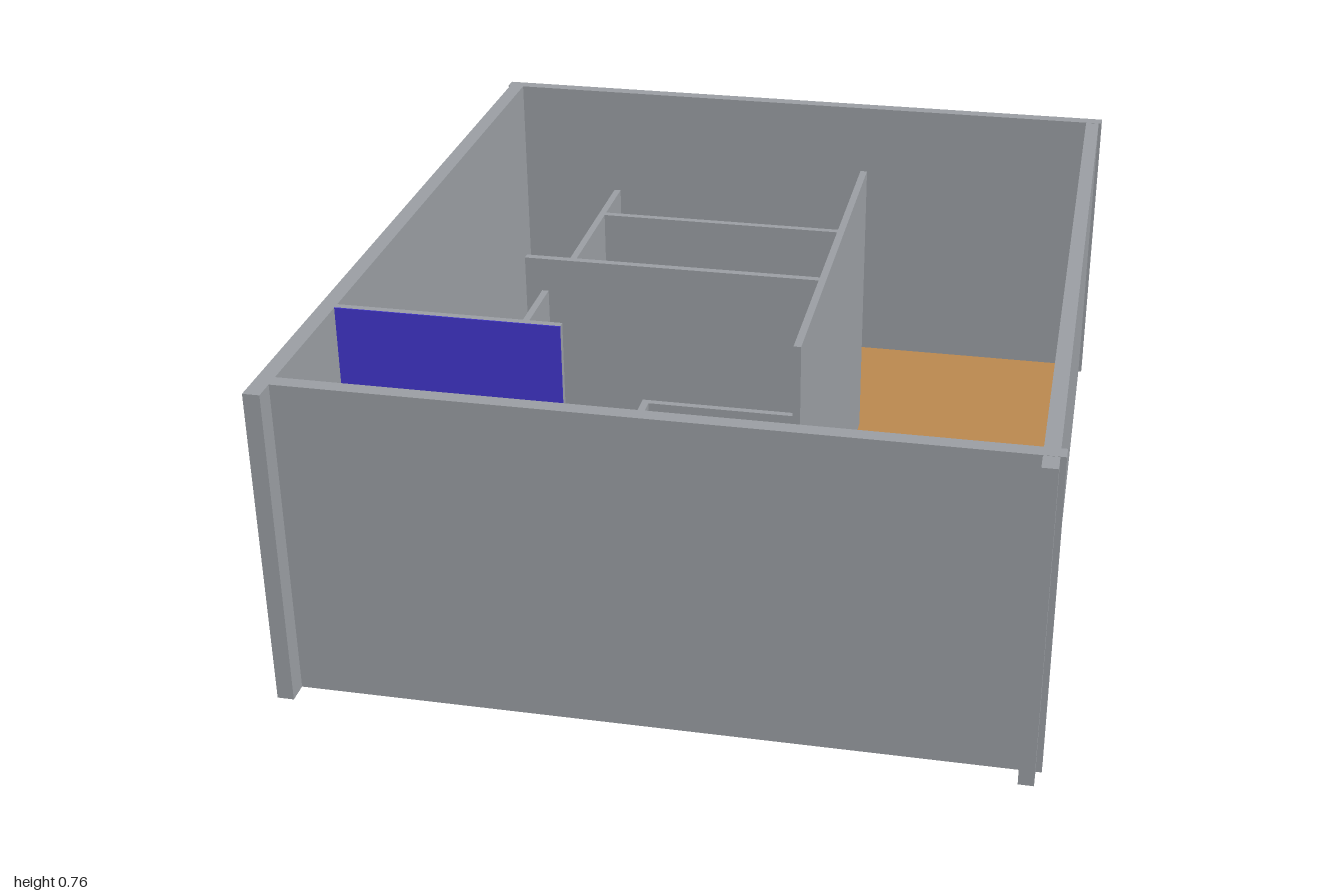
import * as THREE from 'three';

const mat = (name, color) => {
  const m = new THREE.MeshStandardMaterial({ color });
  m.name = name;
  return m;
};

export function createModel() {
  const group = new THREE.Group();
  group.name = 'roomLayout';
  const grey = mat('wallGrey', 0x9a9ea3);
  const wood = mat('floorBrown', 0xba884f);
  const blue = mat('panelBlue', 0x4236cc);
  const pink = mat('picturePink', 0xb475a2);
  const amber = mat('pictureAmber', 0xbb7e38);
  const black = mat('screenBlack', 0x161616);

  // Box given by its extents on each axis
  const block = (name, material, x0, x1, y0, y1, z0, z1) => {
    const mesh = new THREE.Mesh(new THREE.BoxGeometry(x1 - x0, y1 - y0, z1 - z0), material);
    mesh.position.set((x0 + x1) / 2, (y0 + y1) / 2, (z0 + z1) / 2);
    mesh.name = name;
    group.add(mesh);
  };
  const wall = (name, x0, x1, z0, z1, top, bottom = 0) =>
    block(name, grey, x0, x1, bottom, top, z0, z1);

  const high = 0.76, low = 0.59, door = 0.42;

  // Floor, slightly above the wall feet
  block('floor', wood, -0.805, 0.8, 0.012, 0.02, -0.968, 0.915);

  // Outer walls
  wall('backWall', -0.845, 0.84, -1, -0.967, high);
  wall('frontWall', -0.805, 0.845, 0.915, 0.95, high);
  wall('rightOuterWall', -0.84, -0.802, -0.967, 1, high);
  wall('leftOuterWall', 0.798, 0.832, -0.967, 1, high - 0.0005);

  // Full-height partitions
  wall('middlePartition', -0.46, 0.24, 0.195, 0.213, high);
  wall('longPartition', 0.24, 0.257, -0.49, 0.565, high);
  wall('entrancePartition', -0.802, -0.28, 0.545, 0.562, high);
  wall('entranceStub', -0.37, -0.355, 0.385, 0.545, high);

  // Low partitions
  wall('innerRoomBackWall', -0.443, 0.24, -0.492, -0.474, low);
  wall('smallRoomWall', -0.1, 0.24, 0.55, 0.565, low);

  // Low partitions with a doorway and a lintel over it
  const doorWall = (name, x0, x1, z0, d0, d1, z1) => {
    wall(name, x0, x1, z0, d0, low);
    wall(name, x0, x1, d1, z1, low);
    wall(name + 'Lintel', x0, x1, d0, d1, low, door);
  };
  doorWall('innerRoomDoorWall', -0.46, -0.443, -0.655, -0.28, -0.08, 0.195);
  doorWall('smallRoomDoorWall', -0.1, -0.084, 0.565, 0.66, 0.81, 0.915);

  // Blue face of the entrance partition
  block('bluePanel', blue, -0.802, -0.28, 0.02, high, 0.562, 0.565);

  // Black screen inside the inner room
  block('blackScreen', black, 0.236, 0.24, 0.02, low, -0.44, 0.195);

  // Rows of pictures
  for (let i = 0; i < 4; i++) {
    const x = -0.28 + i * 0.114;
    block('partitionPicture', pink, x, x + 0.08, 0.17, 0.305, 0.216, 0.222);
    block('backWallPicture', pink, x, x + 0.08, 0.17, 0.305, -0.967, -0.963);
  }
  for (let i = 0; i < 5; i++) {
    const z = -0.37 + i * 0.16;
    block('sideWallPicture', amber, 0.794, 0.798, 0.17, 0.305, z, z + 0.08);
  }
  return group;
}
